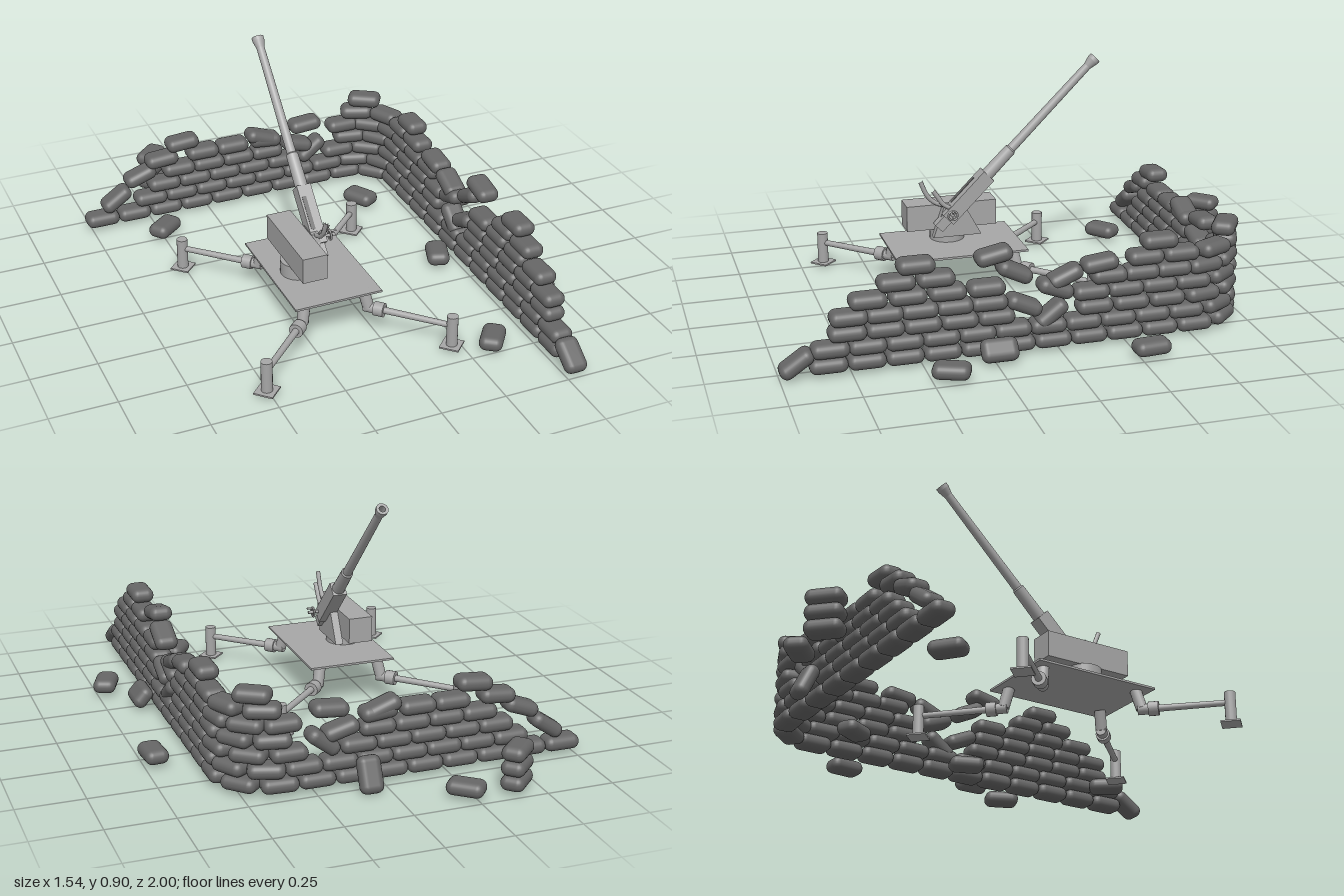
import * as THREE from 'three';
import { RoundedBoxGeometry } from 'three/addons/geometries/RoundedBoxGeometry.js';

const gunMat = new THREE.MeshStandardMaterial({ color: 0xa6a6a6 });
const darkMat = new THREE.MeshStandardMaterial({ color: 0x666666 });
const bagMat = new THREE.MeshStandardMaterial({ color: 0x666666 });
const bagGeo = new RoundedBoxGeometry(0.135, 0.055, 0.087, 3, 0.0265);

function add(parent, name, geo, x = 0, y = 0, z = 0, mat = gunMat) {
  const m = new THREE.Mesh(geo, mat);
  m.name = name;
  m.position.set(x, y, z);
  parent.add(m);
  return m;
}
const box = (w, h, d) => new THREE.BoxGeometry(w, h, d);
const cyl = (rTop, rBottom, h, n = 20) => new THREE.CylinderGeometry(rTop, rBottom, h, n);

// Round bar between two points
function bar(parent, name, a, b, r0, r1 = r0) {
  const d = b.clone().sub(a);
  const m = add(parent, name, cyl(r1, r0, d.length(), 16));
  m.position.copy(a).addScaledVector(d, 0.5);
  m.quaternion.setFromUnitVectors(new THREE.Vector3(0, 1, 0), d.normalize());
  return m;
}

// Sandbag with its long axis along (dx, dz), then tilted and rolled
function bag(parent, x, y, z, dx, dz, tilt = 0, roll = 0) {
  const m = add(parent, 'sandbag', bagGeo, x, y, z, bagMat);
  m.rotation.set(roll, Math.atan2(-dz, dx), tilt, 'YZX');
}

// Wall centre line: back run, quarter-circle corner, side run
const BACK = 1.13, R = 0.18, ARC = R * Math.PI / 2;
function wallPoint(s) {
  if (s < BACK) return [-0.77 + s, -0.69, 1, 0];
  if (s < BACK + ARC) {
    const a = (s - BACK) / R;
    return [0.36 + R * Math.sin(a), -0.51 - R * Math.cos(a), Math.cos(a), Math.sin(a)];
  }
  return [0.54, -0.51 + s - BACK - ARC, 0, 1];
}
function wallBag(parent, s, y, tilt = 0) {
  const [x, z, dx, dz] = wallPoint(s);
  bag(parent, x, y, z, dx, dz, tilt);
}

function createWall() {
  const wall = new THREE.Group();
  wall.name = 'sandbagWall';
  // Runs of bags in each course, as start and end along the wall
  const courses = [
    [[0, 2.82]],
    [[0.21, 2.81]],
    [[0.27, 0.92], [1.04, 1.86], [2.09, 2.75]],
    [[0.335, 0.85], [1.1, 1.87], [2.12, 2.74]],
    [[0.44, 0.7], [1.07, 1.80], [2.12, 2.68]],
    [[1.13, 1.67], [2.3, 2.58]],
    [[1.165, 1.295], [1.485, 1.615], [2.375, 2.505]],
  ];
  courses.forEach((runs, row) => runs.forEach(([a, b]) => {
    const n = Math.max(1, Math.round((b - a) / 0.132));
    for (let i = 0; i < n; i++) wallBag(wall, a + (b - a) * (i + 0.5) / n, 0.043 + 0.055 * row);
  }));
  // Slipped bags: distance along the wall, height, tilt
  [
    [0.13, 0.12, 0.6], [0.235, 0.205, 0.35], [0.33, 0.262, 0.08], [0.42, 0.32, 0.08],
    [0.765, 0.275, -0.35], [0.78, 0.262, -0.1], [0.92, 0.215, -0.27], [0.96, 0.297, 0.08],
    [0.985, 0.18, 0.65],
    [2.863, 0.06, -0.6], [2.163, 0.38, -0.2], [2.088, 0.313, 0.45], [2.053, 0.185, 0.42],
    [1.953, 0.14, -0.65], [1.938, 0.235, 0.35], [1.903, 0.275, -0.4], [1.773, 0.31, -0.12],
  ].forEach(([s, y, t]) => wallBag(wall, s, y, t));
  return wall;
}

function createLooseBags() {
  const g = new THREE.Group();
  g.name = 'looseSandbags';
  // Position and direction on the ground
  [
    [-0.49, -0.52, 1, -0.8], [0.34, -0.44, 0.5, 0.85], [0.71, -0.29, 0.08, 1],
    [0.43, 0.10, 0.35, -1], [0.71, 0.435, 0.4, -1], [0.35, 0.71, 0.75, -1],
    [-0.41, -0.935, 1, -1], [-0.22, -0.935, 1, 0.85],
  ].forEach(([x, z, dx, dz]) => bag(g, x, 0.043, z, dx, dz));
  // Small stack behind the wall
  for (const y of [0.098, 0.153]) bag(g, -0.41, y, -0.935, 1, -1);
  // Bags leaning against the wall
  bag(g, 0.62, 0.056, 0.24, 0, 1, 0, -0.85);
  bag(g, 0.07, 0.066, -0.775, 0, 1, 1.13);
  return g;
}

function createCarriage() {
  const g = new THREE.Group();
  g.name = 'carriage';
  const cx = -0.15, cz = 0.21;
  add(g, 'platform', box(0.34, 0.008, 0.51), cx, 0.18, cz);
  add(g, 'turntable', cyl(0.067, 0.067, 0.055, 28), -0.21, 0.21, 0.22);
  add(g, 'equipmentBox', box(0.095, 0.1, 0.355), -0.212, 0.285, 0.21);

  // Four outriggers with jack posts and foot pads
  for (const sx of [-1, 1]) for (const sz of [-1, 1]) {
    const leg = new THREE.Group();
    leg.name = 'outrigger';
    const P = (dx, y, dz) => new THREE.Vector3(cx + sx * dx, y, cz + sz * dz);
    bar(leg, 'outriggerBracket', P(0.115, 0.178, 0.205), P(0.13, 0.105, 0.22), 0.022);
    bar(leg, 'outriggerSleeve', P(0.12, 0.102, 0.21), P(0.155, 0.102, 0.245), 0.02);
    bar(leg, 'outriggerCollar', P(0.148, 0.102, 0.238), P(0.175, 0.102, 0.265), 0.027);
    bar(leg, 'outriggerArm', P(0.16, 0.102, 0.25), P(0.36, 0.1, 0.45), 0.013, 0.011);
    bar(leg, 'jackPost', P(0.36, 0.016, 0.45), P(0.36, 0.14, 0.45), 0.021);
    const pad = add(leg, 'footPad', box(0.073, 0.006, 0.073), cx + sx * 0.36, 0.017, cz + sz * 0.45);
    pad.rotation.y = Math.PI / 4;
    g.add(leg);
  }

  // Tapered bracket carrying the gun
  const s = new THREE.Shape();
  s.moveTo(-0.1, 0); s.lineTo(0.09, 0); s.lineTo(0.045, 0.13); s.lineTo(-0.03, 0.13);
  const bracket = new THREE.ExtrudeGeometry(s, { depth: 0.03, bevelEnabled: false });
  bracket.rotateY(-Math.PI / 2);
  add(g, 'gunBracket', bracket, -0.135, 0.21, 0.2);
  return g;
}

function createGun() {
  const g = new THREE.Group();
  g.name = 'gun';
  g.position.set(-0.135, 0.33, 0.195);

  // Elevating assembly, modelled upright and tipped back
  const tube = new THREE.Group();
  tube.name = 'elevatingGun';
  tube.rotation.x = -Math.PI / 4;
  add(tube, 'cradle', box(0.056, 0.23, 0.056), 0, 0.055, 0);
  add(tube, 'cradleSlot', box(0.016, 0.13, 0.004), -0.012, 0.06, 0.028, darkMat);
  add(tube, 'breech', box(0.036, 0.06, 0.04), 0, -0.08, 0);
  const profile = [
    [0, 0.15], [0.025, 0.15], [0.023, 0.30], [0.018, 0.305], [0.0155, 0.735],
    [0.023, 0.765], [0.023, 0.78], [0.012, 0.78], [0.012, 0.72], [0, 0.72],
  ].map(([r, y]) => new THREE.Vector2(r, y));
  // Repeated points keep the steps of the barrel crisp
  const crisp = profile.flatMap((p) => [p, p.clone()]);
  add(tube, 'barrel', new THREE.LatheGeometry(crisp, 20));
  g.add(tube);

  // Curved shoulder rests
  const V = (x, y, z) => new THREE.Vector3(x, y, z);
  for (const [x, k] of [[-0.012, 1], [0.014, 0.7]]) {
    const path = new THREE.CatmullRomCurve3([
      V(x, 0.0, 0.03), V(x, 0.02, 0.085 * k), V(x, 0.05, 0.115 * k), V(x, 0.11 * k, 0.142 * k),
    ]);
    add(g, 'shoulderRest', new THREE.TubeGeometry(path, 12, 0.009, 8));
  }

  // Elevating handwheel and crank
  bar(g, 'handwheelAxle', V(0.02, -0.018, 0.03), V(0.07, -0.018, 0.03), 0.006);
  const wheel = add(g, 'handwheel', new THREE.TorusGeometry(0.018, 0.004, 8, 20), 0.05, -0.018, 0.03);
  wheel.rotation.y = Math.PI / 2;
  bar(g, 'handwheelSpoke', V(0.05, -0.036, 0.03), V(0.05, 0, 0.03), 0.003);
  bar(g, 'crankHandle', V(0.05, -0.002, 0.03), V(0.075, -0.002, 0.03), 0.004);
  return g;
}

export function createModel() {
  const model = new THREE.Group();
  model.name = 'gunEmplacement';
  model.add(createWall(), createLooseBags(), createCarriage(), createGun());
  return model;
}
